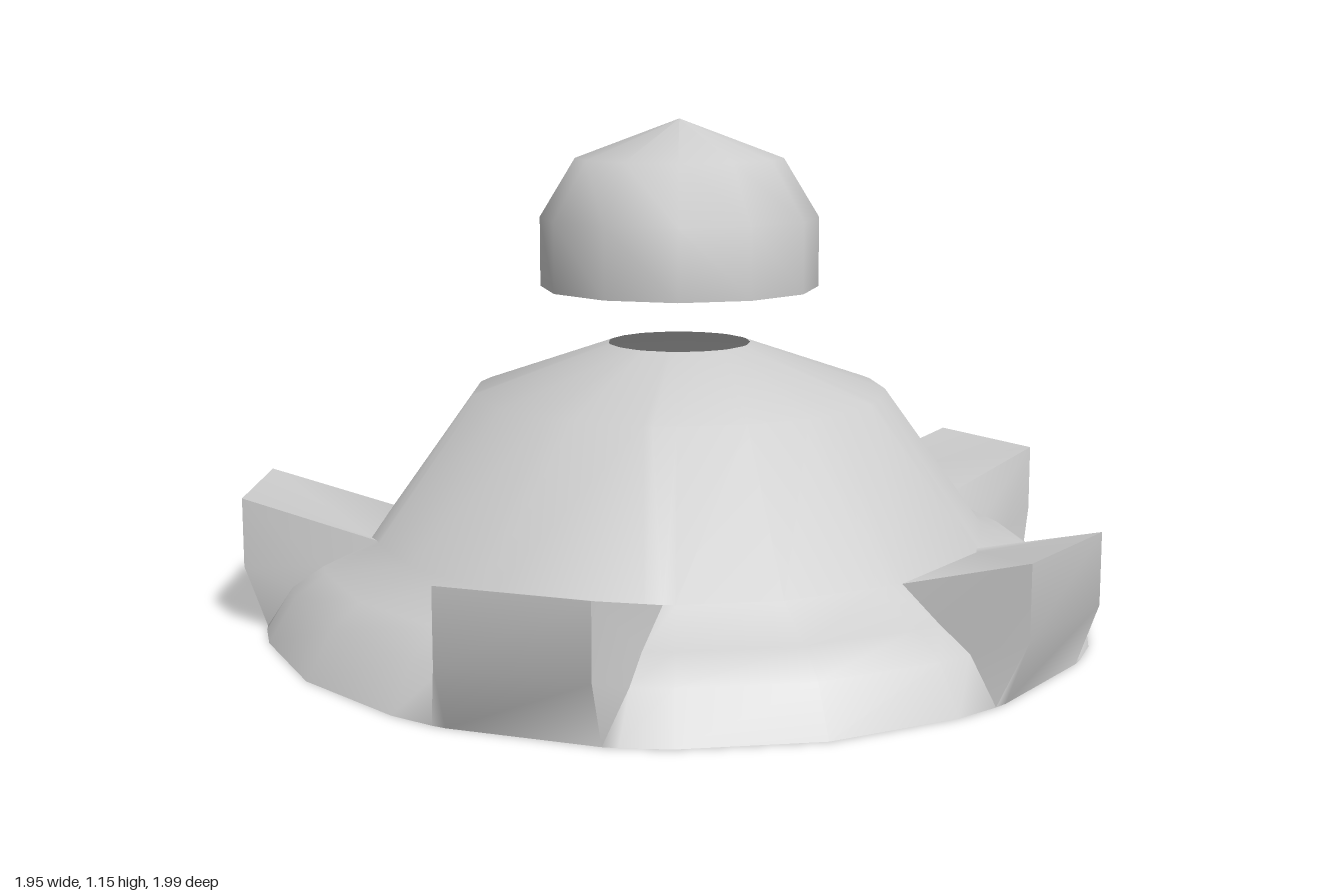
import * as THREE from 'three';
import { toCreasedNormals } from 'three/addons/utils/BufferGeometryUtils.js';

const CENTRE_X = 0.015;
const material = new THREE.MeshStandardMaterial({ color: 0xcccccc, side: THREE.DoubleSide });

// Profiles as [radius, height] from the rim up to the open top
const SKIRT = [[0.96, 0], [0.90, 0.10], [0.83, 0.15], [0.71, 0.21], [0.48, 0.53], [0.165, 0.64]];
const BLOCK = [[0.945, 0], [0.995, 0.14], [0.995, 0.30], [0.70, 0.21], [0.48, 0.53], [0.165, 0.64]];
const HALF_WIDTH = 0.163;

// One column of points; the lowest rows may run parallel to the block's axis
function column(axis, profile, angle, offset) {
  return profile.map(([r, y], row) => {
    if (offset !== undefined && row < 4) {
      const along = profile === BLOCK ? r : Math.sqrt(r * r - offset * offset);
      return [along * Math.cos(axis) - offset * Math.sin(axis), y, along * Math.sin(axis) + offset * Math.cos(axis)];
    }
    return [r * Math.cos(axis + angle), y, r * Math.sin(axis + angle)];
  });
}

// Thin skirt with five hollow blocks pushed out of its rim
function skirtGeometry() {
  const deg = Math.PI / 180;
  const columns = [];
  for (let k = 0; k < 5; k++) {
    const axis = (36 + 72 * k) * deg;
    columns.push(
      column(axis, SKIRT, -18 * deg),
      column(axis, SKIRT, -12 * deg, -0.195),
      column(axis, BLOCK, -9.6 * deg, -HALF_WIDTH),
      column(axis, BLOCK, 9.6 * deg, HALF_WIDTH),
      column(axis, SKIRT, 12 * deg, 0.195),
      column(axis, SKIRT, 18 * deg),
      column(axis, SKIRT, 36 * deg),
    );
  }
  const rows = SKIRT.length;
  const index = [];
  columns.forEach((_, c) => {
    const next = (c + 1) % columns.length;
    for (let r = 0; r < rows - 1; r++) {
      const a = c * rows + r;
      const b = next * rows + r;
      index.push(a, a + 1, b, b, a + 1, b + 1);
    }
  });
  const geometry = new THREE.BufferGeometry();
  geometry.setAttribute('position', new THREE.Float32BufferAttribute(columns.flat(2), 3));
  geometry.setIndex(index);
  return toCreasedNormals(geometry, 1.0);
}

export function createModel() {
  const model = new THREE.Group();
  model.name = 'blockRimmedDome';

  const skirt = new THREE.Mesh(skirtGeometry(), material);
  skirt.name = 'skirtWithBlocks';

  // Floating cap, open underneath
  const profile = [[0.322, 0.77], [0.322, 0.93], [0.24, 1.065], [0, 1.155]];
  const cap = new THREE.Mesh(
    new THREE.LatheGeometry(profile.map(([r, y]) => new THREE.Vector2(r, y)), 12),
    material,
  );
  cap.name = 'cap';

  for (const part of [skirt, cap]) {
    part.position.x = CENTRE_X;
    model.add(part);
  }
  return model;
}
